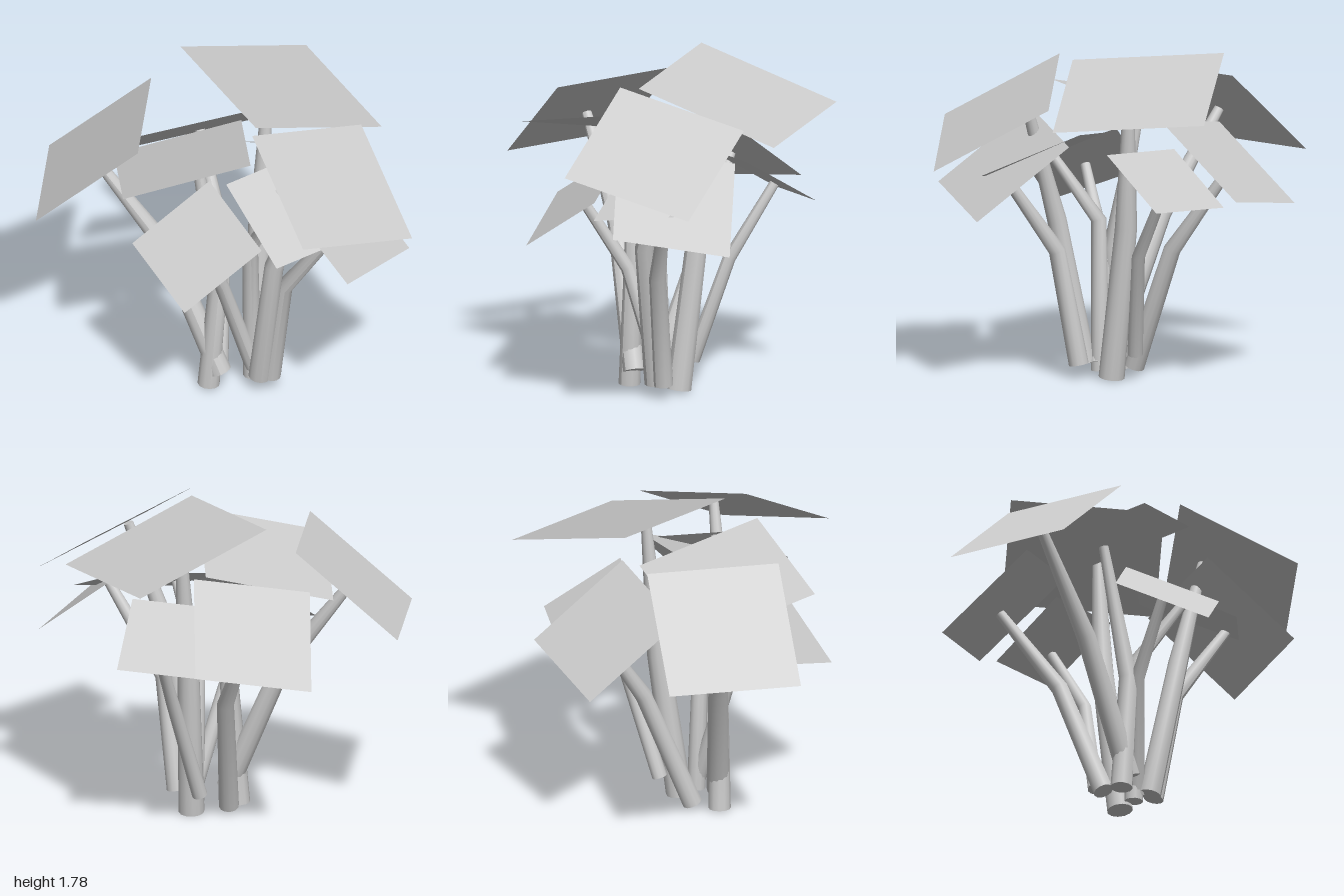
import * as THREE from 'three';

const material = new THREE.MeshStandardMaterial({ color: 0xcccccc, side: THREE.DoubleSide });
const SIDES = 12;
const UP = new THREE.Vector3(0, 1, 0);

// Pose of a flat square leaf: one edge vector, the square banked about it, placed by its centre
function leafPose(centre, edge, bank) {
  const across = new THREE.Vector3().crossVectors(UP, edge).normalize()
    .applyAxisAngle(edge.clone().normalize(), bank).multiplyScalar(edge.length());
  const normal = new THREE.Vector3().crossVectors(edge, across).normalize();
  return new THREE.Matrix4().makeBasis(edge, across, normal).setPosition(centre);
}

// Point just under the leaf at a given x and z
function pointUnder(pose, centre, [x, z]) {
  const n = new THREE.Vector3().setFromMatrixColumn(pose, 2);
  const y = centre.y - (n.x * (x - centre.x) + n.z * (z - centre.z)) / n.y;
  return new THREE.Vector3(x, y - 0.015, z);
}

// Tapered stalk with a bend: the three rings of a cylinder are moved to foot, knee and tip
function stalkGeometry(path, footRadius) {
  const radii = [footRadius, footRadius * 0.85, 0.027];
  const rings = path.map((c, k) => {
    const t = path[Math.min(k + 1, 2)].clone().sub(path[Math.max(k - 1, 0)]).normalize();
    const z = new THREE.Vector3(0, 0, 1).addScaledVector(t, -t.z).normalize();
    const x = new THREE.Vector3().crossVectors(t, z);
    return new THREE.Matrix4().makeBasis(x, t, z).setPosition(c);
  });
  const g = new THREE.CylinderGeometry(1, 1, 2, SIDES, 2);
  const pos = g.attributes.position;
  const v = new THREE.Vector3();
  for (let i = 0; i < pos.count; i++) {
    const k = Math.round(pos.getY(i)) + 1;
    v.set(pos.getX(i) * radii[k], 0, pos.getZ(i) * radii[k]).applyMatrix4(rings[k]);
    pos.setXYZ(i, v.x, Math.max(v.y, 0), v.z);
  }
  g.computeVertexNormals();
  return g;
}

// Each frond: leaf centre, leaf edge and bank angle, then the stalk's foot, knee and tip (x, z)
const fronds = [
  { name: 'rightFrond', centre: [-0.65, 1.38, -0.23], edge: [0.16, 0.02, -0.71], bank: -0.71,
    foot: [0, 0.1, 0.06], knee: [-0.28, 0.83, -0.08], tip: [-0.66, -0.21] },
  { name: 'topFrond', centre: [0.38, 1.627, -0.345], edge: [0.72, -0.25, -0.32], bank: 0.08,
    foot: [0.21, 0.015, -0.07], knee: [0.24, 0.85, -0.18], tip: [0.29, -0.23] },
  { name: 'frontLeftFrond', centre: [0.56, 1.47, 0.44], edge: [0.63, -0.18, -0.32], bank: 0.535,
    foot: [0.21, 0.08, 0.1], knee: [0.27, 0.86, 0.24], tip: [0.51, 0.29] },
  { name: 'middleFrond', centre: [-0.2, 1.435, 0.015], edge: [0.69, 0.16, 0], bank: -0.22,
    foot: [-0.06, 0.015, 0.04], knee: [-0.01, 0.68, 0.06], tip: [-0.12, -0.04] },
  { name: 'backFrond', centre: [-0.055, 1.208, -0.64], edge: [0.63, 0.108, -0.02], bank: -0.66,
    foot: [0.01, 0.045, -0.09], knee: [0.06, 0.72, -0.36], tip: [-0.02, -0.67] },
  { name: 'frontRightFrond', centre: [-0.16, 1.08, 0.34], edge: [0.43, 0.3, -0.1], bank: 0.416,
    foot: [0.19, 0.08, 0.03], knee: [0, 0.68, 0.11], tip: [-0.15, 0.32] },
  { name: 'lowLeftFrond', centre: [0.625, 1.205, 0.355], edge: [0.395, -0.11, -0.49], bank: 0.67,
    foot: [0.27, 0.08, 0.1], knee: [0.33, 0.7, 0.2], tip: [0.61, 0.4] },
  { name: 'lowFrontFrond', centre: [0.41, 1.235, 0.245], edge: [0.55, 0.095, -0.19], bank: 0.425,
    foot: [0.18, 0.04, 0.02], knee: [0.165, 0.86, 0.04], tip: [0.25, 0.28] },
  { name: 'backLeftFrond', centre: [0.38, 1.16, -0.515], edge: [0.47, 0.03, 0.135], bank: -0.56,
    foot: [0.18, 0.15, -0.2], knee: [0.34, 0.72, -0.32], tip: [0.45, -0.55] },
];

export function createModel() {
  const plant = new THREE.Group();
  plant.name = 'plant';
  for (const { name, bank, tip, ...points } of fronds) {
    const [centre, edge, foot, knee] = [points.centre, points.edge, points.foot, points.knee]
      .map((p) => new THREE.Vector3(...p));
    const frond = new THREE.Group();
    frond.name = name;
    const pose = leafPose(centre, edge, bank);
    const leaf = new THREE.Mesh(new THREE.PlaneGeometry(1, 1).applyMatrix4(pose), material);
    leaf.name = 'leaf';
    // bigger leaves have thicker stalks
    const path = [foot, knee, pointUnder(pose, centre, tip)];
    const stalk = new THREE.Mesh(stalkGeometry(path, edge.length() * 0.085), material);
    stalk.name = 'stalk';
    frond.add(leaf, stalk);
    plant.add(frond);
  }
  return plant;
}
